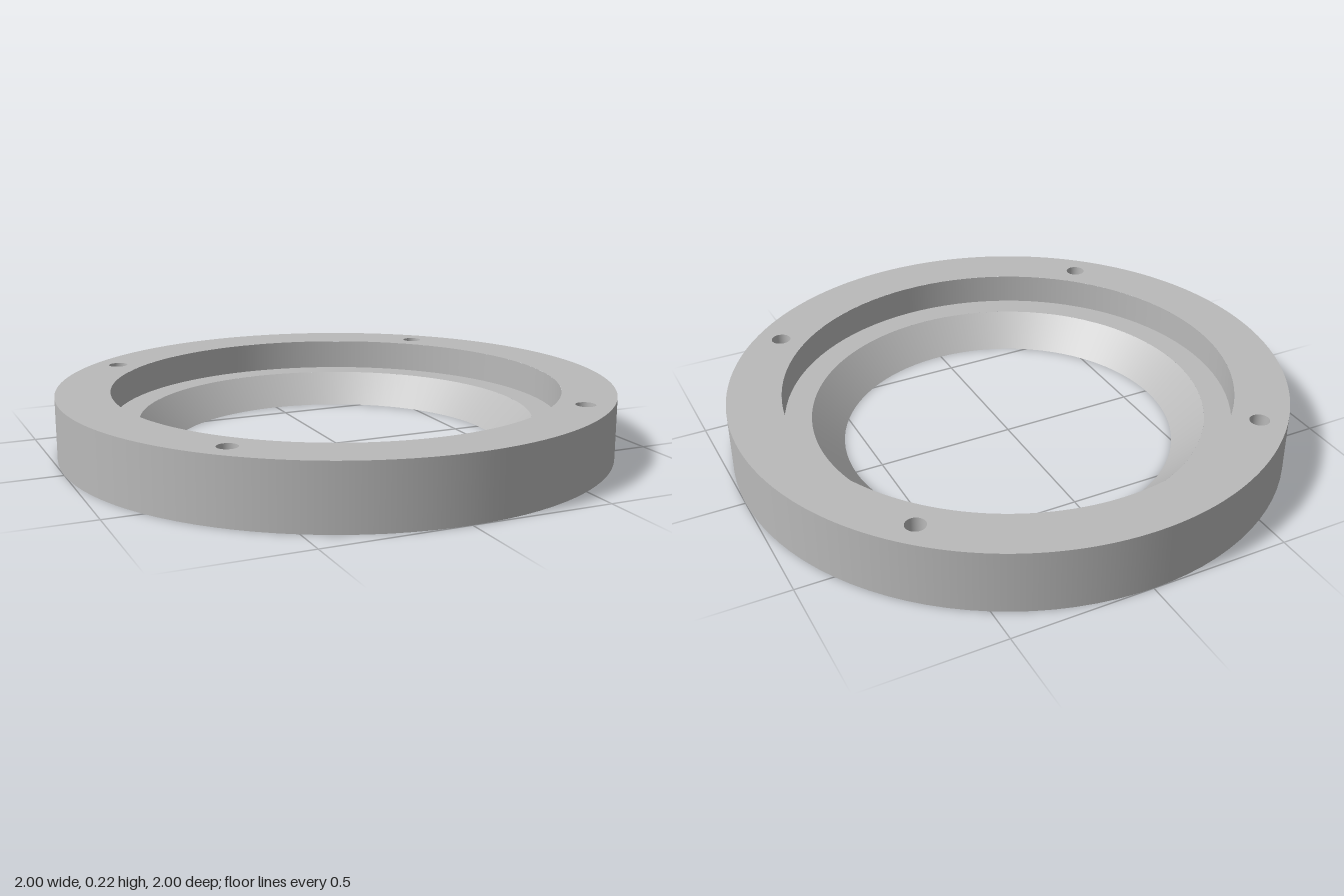
import * as THREE from 'three';

const SEGMENTS = 96;
const HEIGHT = 0.225, LEDGE = 0.113, BORE_DEPTH = 0.11;
const OUTER = 1, RECESS = 0.807, SEAT = 0.71, OPENING = 0.6;
const HOLE = 0.035, COUNTERBORE = 0.065, HOLE_OFFSET = 0.64;

const metal = new THREE.MeshStandardMaterial({ color: 0xbababa });
metal.name = 'grey metal';

const holeCentres = [[1, 1], [-1, 1], [-1, -1], [1, -1]]
  .map(([x, z]) => [x * HOLE_OFFSET, z * HOLE_OFFSET]);

function addMesh(parent, name, geometry) {
  const mesh = new THREE.Mesh(geometry, metal);
  mesh.name = name;
  parent.add(mesh);
  return mesh;
}

// One straight profile line turned about y: rising faces outward, falling faces inward
function turned(r1, y1, r2, y2, segments = SEGMENTS) {
  return new THREE.LatheGeometry([new THREE.Vector2(r1, y1), new THREE.Vector2(r2, y2)], segments);
}

// Flat ring, optionally pierced by the four screw holes
function flatRing(outer, inner, y, up, holeRadius = 0) {
  const shape = new THREE.Shape().absarc(0, 0, outer, 0, Math.PI * 2);
  const cut = (x, z, r) => shape.holes.push(new THREE.Path().absarc(x, z, r, 0, Math.PI * 2, true));
  cut(0, 0, inner);
  if (holeRadius) holeCentres.forEach(([x, z]) => cut(x, z, holeRadius));
  return new THREE.ShapeGeometry(shape, SEGMENTS)
    .rotateX(up ? -Math.PI / 2 : Math.PI / 2)
    .translate(0, y, 0);
}

export function createModel() {
  const model = new THREE.Group();
  model.name = 'flangeRing';

  // Ring body
  addMesh(model, 'outerWall', turned(OUTER, 0, OUTER, HEIGHT));
  addMesh(model, 'topFace', flatRing(OUTER, RECESS, HEIGHT, true, HOLE));
  addMesh(model, 'recessWall', turned(RECESS, HEIGHT, RECESS, LEDGE));
  addMesh(model, 'recessLedge', flatRing(RECESS, SEAT, LEDGE, true));
  addMesh(model, 'taperedBore', turned(SEAT, LEDGE, OPENING, 0));
  addMesh(model, 'bottomFace', flatRing(OUTER, OPENING, 0, false, COUNTERBORE));

  // Screw holes, counterbored from below
  for (const [x, z] of holeCentres) {
    const hole = new THREE.Group();
    hole.name = 'screwHole';
    hole.position.set(x, 0, z);
    addMesh(hole, 'shankWall', turned(HOLE, HEIGHT, HOLE, BORE_DEPTH));
    addMesh(hole, 'headSeat', flatRing(COUNTERBORE, HOLE, BORE_DEPTH, false));
    addMesh(hole, 'headWall', turned(COUNTERBORE, BORE_DEPTH, COUNTERBORE, 0));
    model.add(hole);
  }
  return model;
}
